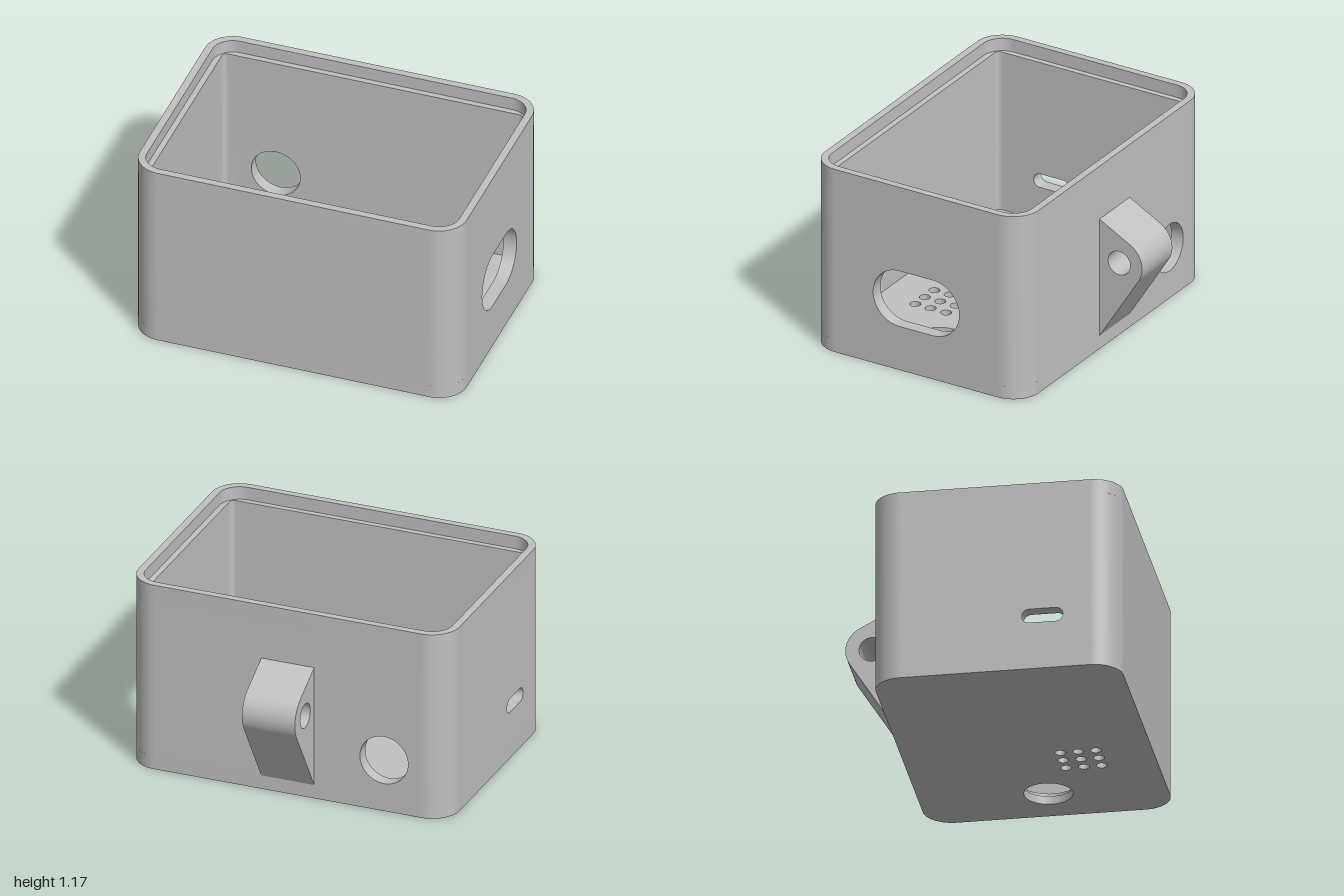
import * as THREE from 'three';
import { toCreasedNormals } from 'three/addons/utils/BufferGeometryUtils.js';

const HX = 1, HZ = 0.721, CZ = 0.144;        // half width, half depth, body centre in z
const H = 1.175, R = 0.17, WALL = 0.08;      // height, outer corner radius, wall thickness
const FLOOR = 0.08, LEDGE = 1.095, LIP = 0.045;

export function createModel() {
  const model = new THREE.Group();
  const grey = new THREE.MeshStandardMaterial({ color: 0xc0c0c0 });
  grey.name = 'grey plastic';

  const extrude = (shape, depth) =>
    toCreasedNormals(new THREE.ExtrudeGeometry(shape, { depth, bevelEnabled: false, curveSegments: 24 }), 0.5);
  const add = (name, geometry) => {
    const mesh = new THREE.Mesh(geometry, grey);
    mesh.name = name;
    model.add(mesh);
  };
  // Slab drawn in plan (shape y = -z, around the body centre), raised from y0 to y1
  const slab = (name, shape, y0, y1) =>
    add(name, extrude(shape, y1 - y0).rotateX(-Math.PI / 2).translate(0, y0, CZ));
  // Profile drawn in (z, y), running from x1 towards -x
  const sideways = (name, shape, x1, depth) =>
    add(name, extrude(shape, depth).rotateY(-Math.PI / 2).translate(x1, 0, 0));

  const circle = (x, y, r) => new THREE.Path().absarc(x, y, r, 0, Math.PI * 2, true);
  const slot = (x0, x1, y, r) => new THREE.Path()
    .absarc(x1 - r, y, r, -Math.PI / 2, Math.PI / 2, false)
    .absarc(x0 + r, y, r, Math.PI / 2, Math.PI * 1.5, false);
  const rectangle = (x0, x1, y0, y1) => new THREE.Shape(
    [[x0, y0], [x1, y0], [x1, y1], [x0, y1]].map(p => new THREE.Vector2(...p)));
  const roundedRect = (a, b, r) => new THREE.Shape()
    .absarc(a - r, b - r, r, 0, Math.PI / 2, false)
    .absarc(r - a, b - r, r, Math.PI / 2, Math.PI, false)
    .absarc(r - a, r - b, r, Math.PI, Math.PI * 1.5, false)
    .absarc(a - r, r - b, r, Math.PI * 1.5, Math.PI * 2, false);

  // Floor in two layers, so the large hole gets a wider recess on the inside
  const floorLayer = (name, bigRadius, y0, y1) => {
    const shape = roundedRect(HX, HZ, R);
    shape.holes.push(circle(0.697, CZ - 0.177, bigRadius));
    for (let i = 0; i < 3; i++)
      for (let j = 0; j < 3; j++)
        shape.holes.push(circle(0.16 + i * 0.104, CZ - (0.335 + j * 0.104), 0.032));
    slab(name, shape, y0, y1);
  };
  floorLayer('floor', 0.142, 0, 0.05);
  floorLayer('floorRecess', 0.172, 0.05, FLOOR);

  // Corner posts: large radius outside, small fillet inside
  const q = 0.03;
  const corner = [];
  for (let i = 0; i <= 20; i++) {
    const a = i / 20 * Math.PI / 2;
    corner.push([HX - R + R * Math.cos(a), HZ - R + R * Math.sin(a)]);
  }
  corner.push([HX - R, HZ - WALL]);
  for (let i = 6; i >= 0; i--) {
    const a = i / 6 * Math.PI / 2;
    corner.push([HX - WALL - q + q * Math.cos(a), HZ - WALL - q + q * Math.sin(a)]);
  }
  corner.push([HX - WALL, HZ - R]);
  for (const sx of [1, -1])
    for (const sy of [1, -1])
      slab('cornerPost', new THREE.Shape(corner.map(([x, y]) => new THREE.Vector2(sx * x, sy * y))), FLOOR, LEDGE);

  // Front and back walls, the back one with a round cable hole
  const frontWall = rectangle(R - HX, HX - R, FLOOR, LEDGE);
  add('frontWall', extrude(frontWall, WALL).translate(0, 0, CZ + HZ - WALL));
  const backWall = rectangle(R - HX, HX - R, FLOOR, LEDGE);
  backWall.holes.push(circle(-0.6, 0.325, 0.15));
  add('backWall', extrude(backWall, WALL).translate(0, 0, CZ - HZ));

  // Side walls with their slots
  const sideWall = (name, hole, x1) => {
    const shape = rectangle(CZ - HZ + R, CZ + HZ - R, FLOOR, LEDGE);
    shape.holes.push(hole);
    sideways(name, shape, x1, WALL);
  };
  sideWall('leftWall', slot(-0.145, 0.437, 0.458, 0.178), HX);
  sideWall('rightWall', slot(0.3, 0.54, 0.335, 0.043), WALL - HX);

  // Thinner rim that leaves a ledge for a lid
  const rim = roundedRect(HX, HZ, R);
  rim.holes.push(roundedRect(HX - LIP, HZ - LIP, R - LIP));
  slab('lidRim', rim, LEDGE, H);

  // Mounting lug on the back, pierced across
  const lug = new THREE.Shape();
  lug.moveTo(CZ - HZ, 0.085);
  lug.lineTo(CZ - HZ, 0.835);
  lug.absarc(-0.71, 0.587, 0.155, 2.066, 3.717, false);
  lug.holes.push(circle(-0.71, 0.587, 0.075));
  sideways('mountingLug', lug, 0.165, 0.33);

  return model;
}
